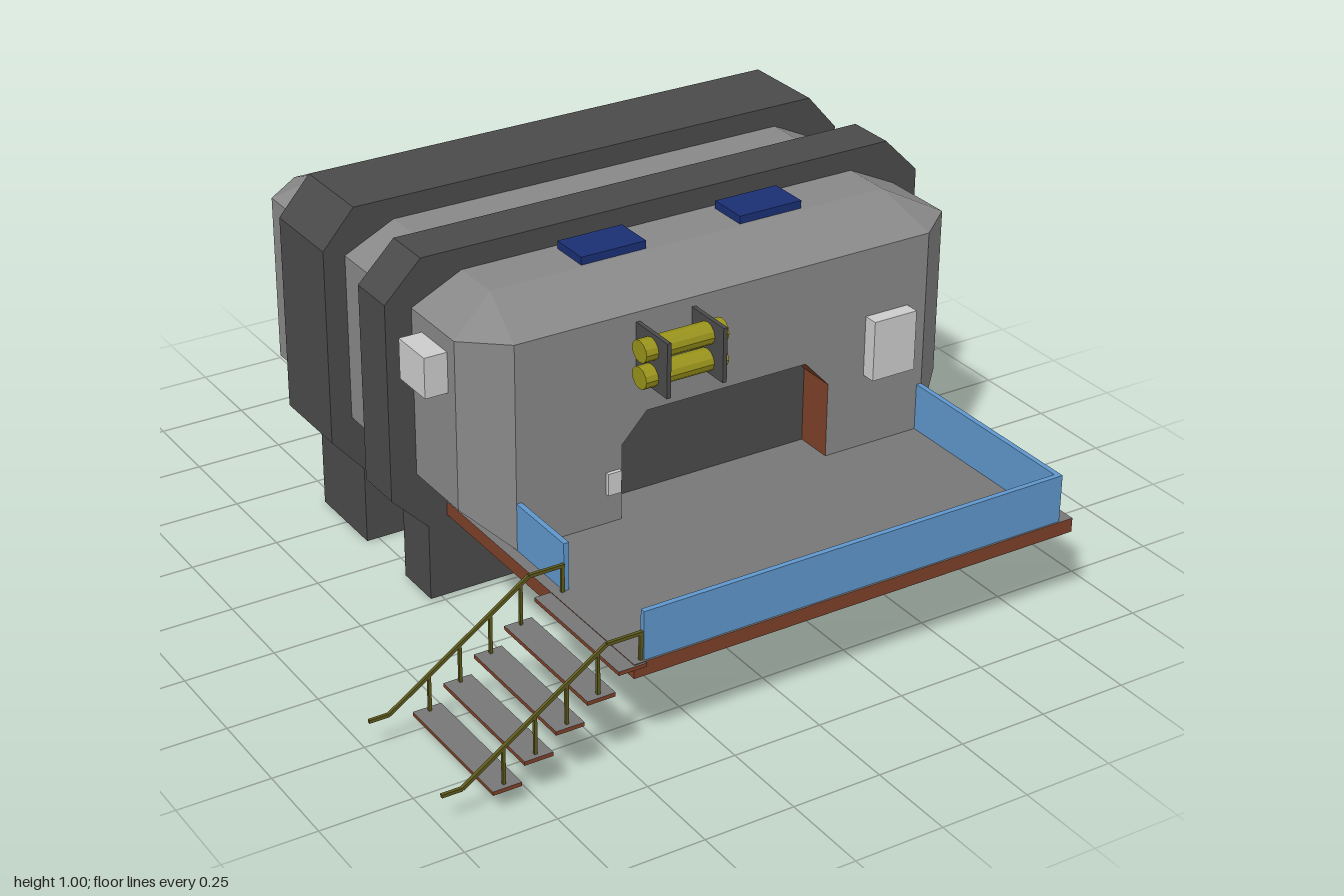
import * as THREE from 'three';

const CX = 0.18; // shared centre line of hull, frames and deck
const mat = (color, side = THREE.FrontSide) =>
  new THREE.MeshStandardMaterial({ color, side, flatShading: true });

const hullGrey = mat(0x888888, THREE.DoubleSide);
const frameGrey = mat(0x4a4a4a);
const recessGrey = mat(0x4a4a4a, THREE.DoubleSide);
const brown = mat(0x7d4029, THREE.DoubleSide);
const deckGrey = mat(0x777777);
const glassBlue = mat(0x5f96cc);
const panelBlue = mat(0x1a2f74);
const olive = mat(0x5c581c);
const yellow = mat(0x98921a);
const lightGrey = mat(0xcccccc);

export function createModel() {
  const model = new THREE.Group();

  const add = (name, geometry, material, parent = model) => {
    const mesh = new THREE.Mesh(geometry, material);
    mesh.name = name;
    parent.add(mesh);
    return mesh;
  };

  // box given by its limits on each axis
  const box = (name, x0, x1, y0, y1, z0, z1, material, parent) => {
    const mesh = add(name, new THREE.BoxGeometry(x1 - x0, y1 - y0, z1 - z0), material, parent);
    mesh.position.set((x0 + x1) / 2, (y0 + y1) / 2, (z0 + z1) / 2);
    return mesh;
  };
  const edged = [brown, brown, deckGrey, deckGrey, brown, brown];

  // Deck
  box('deck', -0.48, 0.85, 0.245, 0.285, -0.915, 0.905, edged);

  // Hull: stacked eight-point rings, the front wall left open for the doorway wall
  const ring = (y, wx, cx, zf, zb, cz) => [
    [-wx + cx, zf], [wx - cx, zf], [wx, zf - cz], [wx, zb + cz],
    [wx - cx, zb], [-wx + cx, zb], [-wx, zb + cz], [-wx, zf - cz],
  ].map(([x, z]) => new THREE.Vector3(CX + x, y, z));
  const rings = [
    ring(0.285, 0.63, 0, 0.3, -0.905, 0),
    ring(0.39, 0.745, 0.115, 0.3, -0.905, 0.095),
    ring(0.865, 0.745, 0.115, 0.3, -0.905, 0.095),
    ring(0.935, 0.6, 0, 0.13, -0.735, 0),
  ];
  const points = [];
  const tri = (a, b, c) => {
    if (a.distanceTo(b) * b.distanceTo(c) * c.distanceTo(a) > 1e-9) points.push(a, b, c);
  };
  for (let r = 0; r < 3; r++) {
    const [lo, hi] = [rings[r], rings[r + 1]];
    for (let i = 0; i < 8; i++) {
      if (i === 0 && r < 2) continue;
      const j = (i + 1) % 8;
      tri(lo[i], lo[j], hi[j]);
      tri(lo[i], hi[j], hi[i]);
    }
  }
  const roof = rings[3];
  tri(roof[0], roof[1], roof[4]);
  tri(roof[0], roof[4], roof[5]);
  const hullGeometry = new THREE.BufferGeometry().setFromPoints(points);
  hullGeometry.computeVertexNormals();
  add('hull', hullGeometry, hullGrey);

  // Front wall with doorway, its brown lining and the recessed back
  const arch = [[-0.14, 0.285], [-0.14, 0.5], [-0.065, 0.58], [0.425, 0.58], [0.5, 0.5], [0.5, 0.285]]
    .map(([x, y]) => new THREE.Vector2(x, y));
  const corner = (x, y) => new THREE.Vector2(x, y);
  const wall = new THREE.Shape([
    corner(-0.45, 0.285), ...arch, corner(0.81, 0.285), corner(0.81, 0.865), corner(-0.45, 0.865),
  ]);
  add('frontWall', new THREE.ShapeGeometry(wall), hullGrey).position.z = 0.3;
  add('doorwayBack', new THREE.ShapeGeometry(new THREE.Shape(arch)), recessGrey).position.z = 0.19;
  const lining = [];
  for (let i = 0; i < arch.length - 1; i++) {
    const [a, b] = [arch[i], arch[i + 1]];
    const p = (v, z) => new THREE.Vector3(v.x, v.y, z);
    lining.push(p(a, 0.3), p(a, 0.19), p(b, 0.19), p(a, 0.3), p(b, 0.19), p(b, 0.3));
  }
  const liningGeometry = new THREE.BufferGeometry().setFromPoints(lining);
  liningGeometry.computeVertexNormals();
  add('doorwayLining', liningGeometry, brown);

  // Two dark frames around the hull, each standing on a wide foot
  const frame = (name, z0, z1, halfWidth, bottom) => {
    const right = [[0.715, bottom], [0.715, 0.225], [halfWidth, 0.33], [halfWidth, 0.89], [0.715, 0.995]];
    const left = right.map(([x, y]) => [-x, y]).reverse();
    const shape = new THREE.Shape([...right, ...left].map(([x, y]) => corner(CX + x, y)));
    const geometry = new THREE.ExtrudeGeometry(shape, { depth: z1 - z0, bevelEnabled: false });
    add(name, geometry, frameGrey).position.z = z0;
  };
  frame('frontFrame', -0.157, -0.015, 0.82, 0.005);
  frame('rearFrame', -0.633, -0.378, 0.807, 0);

  // Deck railing, open on the stair side
  box('frontRailing', -0.45, 0.81, 0.285, 0.42, 0.885, 0.9, glassBlue);
  box('leftRailing', 0.795, 0.81, 0.285, 0.42, 0.3, 0.885, glassBlue);
  box('rightRailing', -0.45, -0.435, 0.285, 0.42, 0.3, 0.53, glassBlue);

  // Roof panels
  for (const x of [-0.15, 0.33]) box('roofPanel', x, x + 0.193, 0.93, 0.957, 0.003, 0.12, panelBlue);

  // Wall boxes
  box('frontWallBox', 0.615, 0.75, 0.497, 0.67, 0.3, 0.342, lightGrey);
  box('doorSwitch', -0.187, -0.147, 0.37, 0.433, 0.3, 0.311, lightGrey);
  box('sideWallBox', -0.63, -0.565, 0.707, 0.82, 0.037, 0.168, lightGrey);

  // Gas tanks on two wall brackets
  const tanks = new THREE.Group();
  tanks.name = 'gasTanks';
  model.add(tanks);
  for (const x of [-0.093, 0.073]) {
    box('tankBracket', x - 0.006, x + 0.006, 0.685, 0.838, 0.295, 0.445, frameGrey, tanks);
  }
  for (const y of [0.722, 0.796]) {
    const tank = add('tank', new THREE.CylinderGeometry(0.03, 0.03, 0.245, 12), yellow, tanks);
    tank.rotation.z = Math.PI / 2;
    tank.scale.z = 1.15;
    tank.position.set(-0.012, y, 0.372);
  }

  // Stairs: treads, handrails and posts
  const stairs = new THREE.Group();
  stairs.name = 'stairs';
  model.add(stairs);
  const railPath = [[-1, 0.093], [-0.945, 0.093], [-0.55, 0.36], [-0.45, 0.36]];
  for (let i = 0; i < 5; i++) {
    const x = -0.872 + i * 0.0865;
    const y = 0.06 + i * 0.054;
    box('tread', x, x + 0.078, y - 0.004, y + 0.007, 0.515, 0.91, edged, stairs);
    if (i === 4) continue;
    const px = x + 0.039;
    const railY = 0.093 + (px + 0.945) * (0.267 / 0.395);
    for (const z of [0.53, 0.893]) {
      box('railPost', px - 0.004, px + 0.004, y, railY, z - 0.004, z + 0.004, olive, stairs);
    }
  }
  for (const z of [0.53, 0.893]) {
    for (let i = 0; i < 3; i++) {
      const [[x0, y0], [x1, y1]] = [railPath[i], railPath[i + 1]];
      const length = Math.hypot(x1 - x0, y1 - y0);
      const rail = add('handrail', new THREE.BoxGeometry(length, 0.009, 0.009), olive, stairs);
      rail.position.set((x0 + x1) / 2, (y0 + y1) / 2, z);
      rail.rotation.z = Math.atan2(y1 - y0, x1 - x0);
    }
    box('topPost', -0.459, -0.45, 0.285, 0.364, z - 0.004, z + 0.004, olive, stairs);
  }

  return model;
}
